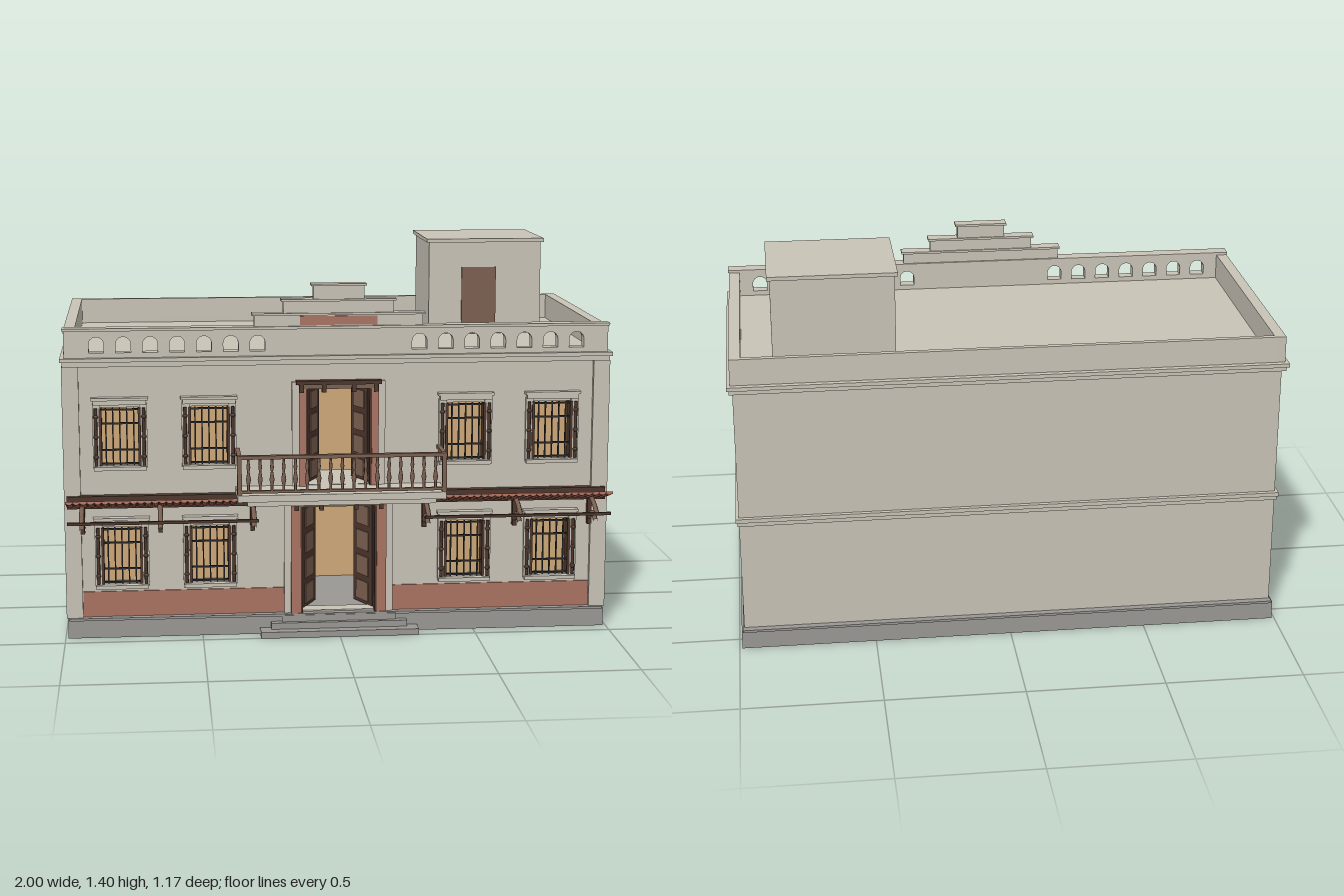
import * as THREE from 'three';

const mat = (name, color) => Object.assign(new THREE.MeshStandardMaterial({ color }), { name });
const wall = mat('plaster', 0xc8c3b6), stone = mat('plinth stone', 0x9a9894), glass = mat('warm glass', 0xcda878);
const clay = mat('terracotta', 0xa87362), dark = mat('dark timber', 0x4c362c), brown = mat('brown timber', 0x7b6050);
const tile = mat('roof tile', 0xa4604c), iron = mat('iron', 0x2e2b2b);

function mesh(parent, name, geo, m) {
  const o = new THREE.Mesh(geo, m);
  o.name = name;
  parent.add(o);
  return o;
}
function box(parent, name, m, x0, x1, y0, y1, z0, z1) {
  const o = mesh(parent, name, new THREE.BoxGeometry(x1 - x0, y1 - y0, z1 - z0), m);
  o.position.set((x0 + x1) / 2, (y0 + y1) / 2, (z0 + z1) / 2);
  return o;
}
// Upright panel with rectangular or arched openings
function panel(x0, x1, y0, y1, depth, holes) {
  const rect = (P, a, b, c, d) => {
    const p = new P();
    p.moveTo(a, c); p.lineTo(b, c); p.lineTo(b, d); p.lineTo(a, d); p.closePath();
    return p;
  };
  const s = rect(THREE.Shape, x0, x1, y0, y1);
  for (const [a, b, c, d, arched] of holes) {
    if (!arched) { s.holes.push(rect(THREE.Path, a, b, c, d)); continue; }
    const p = new THREE.Path(), r = (b - a) / 2;
    p.moveTo(a, c); p.lineTo(b, c); p.lineTo(b, d - r);
    p.absarc((a + b) / 2, d - r, r, 0, Math.PI, false);
    p.closePath();
    s.holes.push(p);
  }
  return new THREE.ExtrudeGeometry(s, { depth, bevelEnabled: false, curveSegments: 6 });
}

// Barred window with surround, lintel, sill and turned side posts
function barredWindow(g, cx, y0, y1) {
  const w = new THREE.Group(), h = 0.07, mid = (y0 + y1) / 2;
  w.name = 'barredWindow';
  w.position.x = cx;
  g.add(w);
  box(w, 'windowGlass', glass, -h, h, y0, y1, 0.375, 0.382);
  for (const s of [-1, 1]) {
    box(w, 'windowSurround', wall, s * 0.084 - 0.014, s * 0.084 + 0.014, y0 - 0.01, y1 + 0.015, 0.41, 0.433);
    box(w, 'windowJamb', dark, s * 0.07 - 0.005, s * 0.07 + 0.005, y0, y1, 0.383, 0.438);
    const post = mesh(w, 'windowSidePost', new THREE.CylinderGeometry(0.006, 0.006, y1 - y0, 8), dark);
    post.position.set(s * 0.086, mid, 0.437);
    for (const k of [-0.35, 0, 0.35]) {
      const bead = mesh(w, 'windowPostBead', new THREE.SphereGeometry(0.009, 8, 6), dark);
      bead.position.set(s * 0.086, mid + k * (y1 - y0), 0.437);
    }
  }
  box(w, 'windowLintel', wall, -0.095, 0.095, y1 + 0.012, y1 + 0.028, 0.41, 0.445);
  box(w, 'windowLintelCap', wall, -0.102, 0.102, y1 + 0.028, y1 + 0.038, 0.41, 0.45);
  box(w, 'windowSill', wall, -0.095, 0.095, y0 - 0.018, y0 - 0.004, 0.41, 0.445);
  for (let i = 0; i < 5; i++) {
    const x = -0.05 + i * 0.025;
    box(w, 'windowBar', iron, x - 0.0025, x + 0.0025, y0, y1, 0.425, 0.431);
  }
  for (const k of [0.03, 0.27, 0.73, 0.97]) {
    const y = y0 + k * (y1 - y0);
    box(w, 'windowCrossBar', iron, -0.075, 0.075, y - 0.003, y + 0.003, 0.424, 0.432);
  }
}

// Doorway with timber frame and two panelled leaves swung inward
function doorway(g, half, y0, y1, angle, frameW) {
  const d = new THREE.Group();
  d.name = 'doorway';
  g.add(d);
  for (const s of [-1, 1]) {
    const side = new THREE.Group(), leaf = new THREE.Group();
    side.scale.x = s;
    side.name = 'doorSide';
    leaf.name = 'doorLeaf';
    d.add(side);
    box(side, 'doorSurround', wall, half + frameW, half + frameW + 0.025, y0, y1 + 0.025, 0.41, 0.432);
    box(side, 'doorJamb', clay, half, half + frameW, y0, y1, 0.37, 0.442);
    box(side, 'doorInnerJamb', dark, half - 0.008, half, y0, y1, 0.37, 0.44);
    for (const x of [half * 0.45, half + 0.015])
      box(side, 'lintelBracket', dark, x - 0.008, x + 0.008, y1 - 0.012, y1 + 0.02, 0.42, 0.45);
    leaf.position.set(half - 0.006, y0, 0.385);
    leaf.rotation.y = -angle;
    side.add(leaf);
    const w = half * 0.95, h = y1 - y0;
    box(leaf, 'leafBoard', dark, -w, 0, 0.003, h - 0.003, -0.008, 0.006);
    for (let i = 0; i < 4; i++)
      for (const z of [-0.01, 0.008])
        box(leaf, 'leafPanel', brown, -w * 0.82, -w * 0.18, h * (0.04 + i * 0.24), h * (0.22 + i * 0.24), z - 0.002, z + 0.002);
  }
  box(d, 'doorLintel', brown, -half - frameW, half + frameW, y1, y1 + 0.016, 0.38, 0.444);
  box(d, 'doorLintelCap', dark, -half - frameW - 0.01, half + frameW + 0.01, y1 + 0.016, y1 + 0.03, 0.41, 0.45);
}

// Sloping tiled awning on the +x side, with curved brackets
function awning() {
  const a = new THREE.Group();
  a.name = 'awning';
  const slope = new THREE.Group();
  slope.position.set(0, 0.497, 0.43);
  slope.rotation.x = -0.29;
  a.add(slope);
  box(slope, 'awningBoard', dark, 0.375, 0.985, -0.008, 0, 0, 0.148);
  const n = 24, pitch = 0.61 / n;
  for (let i = 0; i < n; i++) {
    const t = mesh(slope, 'roofTile', new THREE.CylinderGeometry(pitch * 0.5, pitch * 0.5, 0.15, 8, 1, false, -Math.PI / 2, Math.PI), tile);
    t.rotation.x = -Math.PI / 2;
    t.rotation.y = Math.PI;
    t.position.set(0.375 + (i + 0.5) * pitch, 0, 0.075);
    t.material = tileOpen;
  }
  box(a, 'awningWallBeam', dark, 0.31, 0.985, 0.485, 0.53, 0.42, 0.45);
  box(a, 'awningRod', dark, 0.3, 0.98, 0.452, 0.462, 0.562, 0.574);
  const arm = pts => new THREE.TubeGeometry(new THREE.CatmullRomCurve3(pts.map(([z, y]) => new THREE.Vector3(0, y, z))), 10, 0.009, 6);
  for (const x of [0.315, 0.65, 0.93]) {
    mesh(a, 'upperBracket', arm([[0.565, 0.455], [0.53, 0.475], [0.49, 0.49], [0.43, 0.5]]), brown).position.x = x;
    mesh(a, 'lowerBracket', arm([[0.545, 0.425], [0.51, 0.443], [0.47, 0.44], [0.43, 0.41]]), brown).position.x = x;
    box(a, 'bracketPlate', dark, x - 0.008, x + 0.008, 0.39, 0.5, 0.42, 0.442);
  }
  return a;
}
const tileOpen = tile;
tileOpen.side = THREE.DoubleSide;

function balcony(g) {
  const b = new THREE.Group();
  b.name = 'balcony';
  g.add(b);
  box(b, 'balconySlab', wall, -0.375, 0.375, 0.527, 0.552, 0.41, 0.584);
  box(b, 'balconySlabBase', wall, -0.34, 0.34, 0.508, 0.527, 0.41, 0.568);
  box(b, 'topRail', brown, -0.377, 0.377, 0.682, 0.695, 0.562, 0.582);
  box(b, 'bottomRail', brown, -0.37, 0.37, 0.558, 0.568, 0.565, 0.579);
  for (const s of [-1, 1]) {
    box(b, 'railPost', brown, s * 0.368 - 0.008, s * 0.368 + 0.008, 0.552, 0.69, 0.564, 0.58);
    box(b, 'sideRail', brown, s * 0.368 - 0.008, s * 0.368 + 0.008, 0.682, 0.694, 0.42, 0.57);
  }
  const profile = [[0.005, 0], [0.005, 0.02], [0.009, 0.04], [0.004, 0.07], [0.007, 0.085], [0.005, 0.1], [0.005, 0.116]];
  const geo = new THREE.LatheGeometry(profile.map(p => new THREE.Vector2(...p)), 8);
  for (let i = 0; i < 17; i++) mesh(b, 'baluster', geo, brown).position.set(-0.336 + i * 0.042, 0.567, 0.572);
}

export function createModel() {
  const g = new THREE.Group();
  g.name = 'townHouse';

  // Plinth and entrance steps
  box(g, 'plinth', stone, -0.99, 0.99, 0, 0.068, -0.57, 0.44);
  box(g, 'plinthTrim', stone, -0.985, 0.985, 0.066, 0.075, -0.575, 0.447);
  [[0.29, 0.023, 0.505], [0.25, 0.046, 0.467], [0.21, 0.07, 0.45]].forEach(([x, y, z]) =>
    box(g, 'step', stone, -x, x, 0, y, 0.42, z));

  // Walls with openings
  const winX = [-0.79, -0.47, 0.465, 0.785], storeys = [[0.2, 0.41], [0.64, 0.85]], holes = [];
  for (const x of winX) for (const [a, b] of storeys) {
    holes.push([x - 0.07, x + 0.07, a, b]);
    barredWindow(g, x, a, b);
  }
  holes.push([-0.14, 0.14, 0.08, 0.475], [-0.12, 0.12, 0.553, 0.91]);
  mesh(g, 'frontWall', panel(-0.98, 0.98, 0.07, 1.005, 0.06, holes), wall).position.z = 0.36;
  box(g, 'backWall', wall, -0.98, 0.98, 0.07, 1.005, -0.55, -0.49);
  const sideHoles = [[0.055, 0.2, 0.212, 0.402], [-0.33, -0.187, 0.212, 0.402]];
  for (const s of [-1, 1]) {
    const w = mesh(g, 'sideWall', panel(-0.5, 0.37, 0.07, 1.005, 0.06, sideHoles), wall);
    w.rotation.y = -Math.PI / 2;
    w.position.x = s > 0 ? 0.98 : -0.92;
    for (const [a, b, c, d] of sideHoles)
      box(g, 'sideWindowGlass', glass, s * 0.922 - 0.004, s * 0.922 + 0.004, c, d, a, b);
    box(g, 'cornerPilaster', wall, s * 0.965 - 0.03, s * 0.965 + 0.03, 0.075, 1.0, 0.38, 0.437);
    box(g, 'dado', clay, s * 0.567 - 0.367, s * 0.567 + 0.367, 0.076, 0.17, 0.418, 0.425);
    const a = awning();
    a.scale.x = s;
    g.add(a);
  }

  // Bands and cornice, which also form the floors
  box(g, 'floorBandLower', wall, -0.986, 0.986, 0.487, 0.503, -0.56, 0.385);
  box(g, 'floorBandUpper', wall, -0.991, 0.991, 0.503, 0.518, -0.566, 0.385);
  box(g, 'corniceLower', wall, -0.992, 0.992, 1.0, 1.018, -0.573, 0.445);
  box(g, 'corniceUpper', wall, -1, 1, 1.018, 1.032, -0.586, 0.452);

  // Doors and the rooms behind them
  doorway(g, 0.14, 0.075, 0.475, 1.13, 0.035);
  doorway(g, 0.12, 0.552, 0.91, 1.13, 0.025);
  box(g, 'hallBack', glass, -0.5, 0.5, 0.075, 0.487, -0.1, -0.092);
  box(g, 'upperRoomFloor', wall, -0.3, 0.3, 0.515, 0.553, 0.15, 0.37);
  box(g, 'upperRoomBack', glass, -0.3, 0.3, 0.553, 1.0, 0.15, 0.158);
  balcony(g);

  // Parapet with arched openings
  const arches = [];
  for (let i = 0; i < 7; i++) for (const s of [-1, 1]) {
    const x = s * (0.293 + i * 0.096);
    arches.push([x - 0.027, x + 0.027, 1.05, 1.107, true]);
  }
  mesh(g, 'frontParapet', panel(-0.985, 0.985, 1.03, 1.13, 0.043, arches), wall).position.z = 0.392;
  for (const s of [-1, 1]) {
    const x = s * 0.967;
    box(g, 'sideParapet', wall, x - 0.02, x + 0.02, 1.03, 1.128, -0.565, 0.395);
  }
  box(g, 'backParapet', wall, -0.95, 0.95, 1.03, 1.128, -0.565, -0.545);
  box(g, 'parapetCap', wall, -0.99, 0.99, 1.128, 1.138, 0.388, 0.442);

  // Stepped pediment
  [[0.305, 1.13, 1.185], [0.2, 1.185, 1.235], [0.092, 1.235, 1.29]].forEach(([x, a, b]) => {
    box(g, 'pedimentTier', wall, -x, x, a, b - 0.008, 0.396, 0.433);
    box(g, 'pedimentCap', wall, -x - 0.008, x + 0.008, b - 0.008, b, 0.39, 0.44);
  });
  box(g, 'pedimentPanel', clay, -0.14, 0.14, 1.142, 1.174, 0.431, 0.437);

  // Rooftop stair house
  box(g, 'stairHouse', wall, 0.4, 0.835, 1.03, 1.386, -0.482, -0.097);
  box(g, 'stairHouseRoof', wall, 0.39, 0.845, 1.386, 1.4, -0.497, -0.087);
  box(g, 'stairHouseDoor', brown, 0.527, 0.66, 1.03, 1.29, -0.099, -0.091);
  return g;
}
